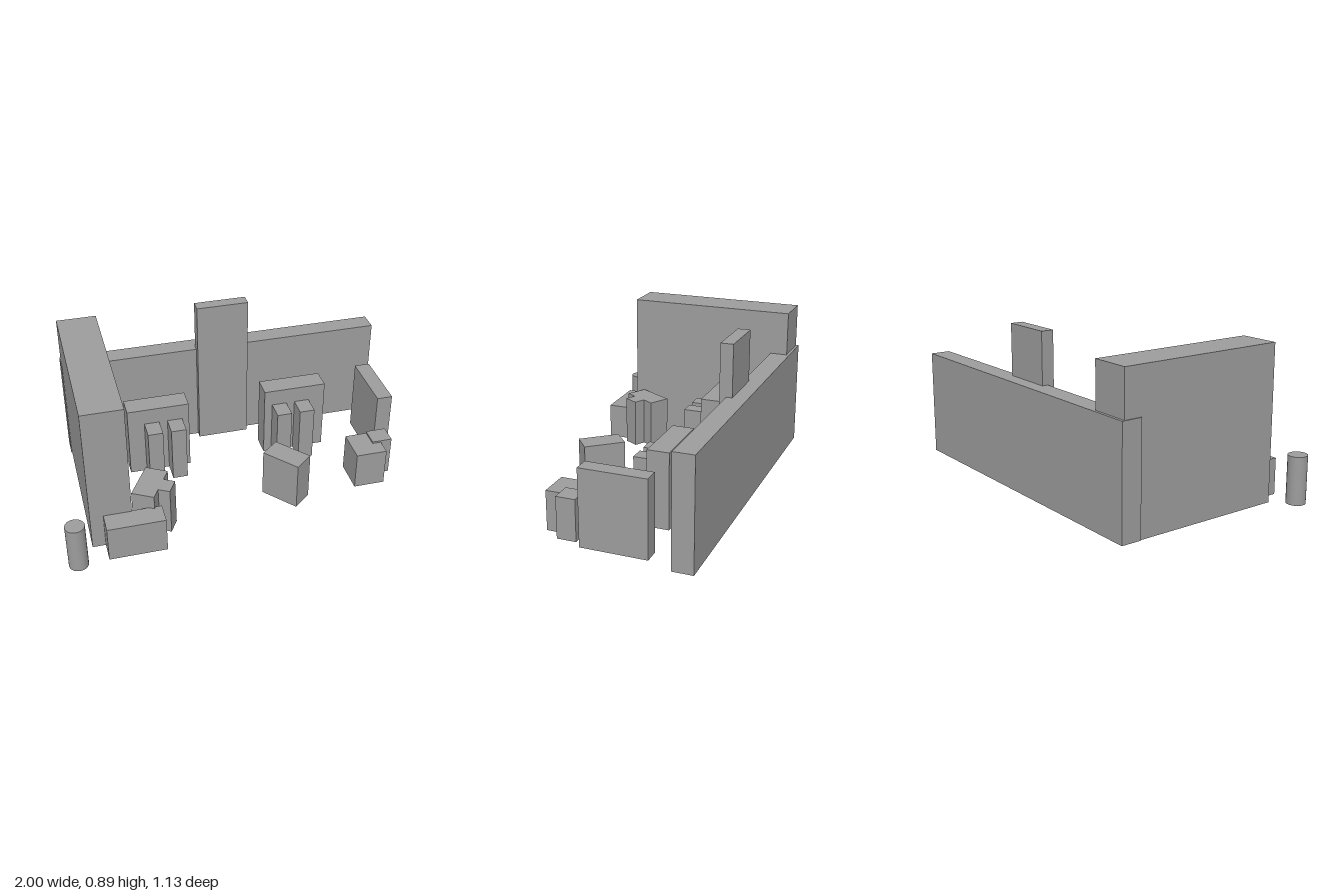
import * as THREE from 'three';

export function createModel() {
  const model = new THREE.Group();
  const material = new THREE.MeshStandardMaterial({ color: 0x9d9d9d });

  // A block standing on the floor: centre x, z, size and turn about y
  function block(name, x, z, width, height, depth, turn = 0) {
    const mesh = new THREE.Mesh(new THREE.BoxGeometry(width, height, depth), material);
    mesh.name = name;
    mesh.position.set(x, height / 2, z);
    mesh.rotation.y = turn;
    model.add(mesh);
  }

  // Walls and tall panel
  block('backWall', 0.067, -0.508, 1.866, 0.602, 0.113);
  block('sideWall', -0.75, -0.073, 0.222, 0.85, 0.952);
  block('tallPanel', 0.063, -0.449, 0.298, 0.888, 0.07);

  // Two dining tables, each with a pair of chairs on either side
  const dining = [
    { x: -0.376, width: 0.354, chairs: [-0.416, -0.283], back: -0.364 },
    { x: 0.432, width: 0.363, chairs: [0.339, 0.474], back: -0.368 },
  ];
  for (const { x, width, chairs, back } of dining) {
    block('table', x, -0.233, width, 0.422, 0.12);
    for (const chairX of chairs) {
      block('backChair', chairX, back, 0.086, 0.33, 0.112);
      block('frontChair', chairX, -0.115, 0.086, 0.33, 0.112);
    }
  }

  // Cabinet and low desk with its seat
  block('cabinet', 0.899, -0.132, 0.088, 0.422, 0.364);
  block('lowDesk', 0.748, 0.185, 0.176, 0.22, 0.192);
  block('lowDeskSeat', 0.843, 0.14, 0.114, 0.23, 0.106);

  // Turned desks, one with a seat
  block('turnedDesk', 0.258, 0.238, 0.226, 0.279, 0.126, -0.87);
  block('sideDesk', -0.518, 0.284, 0.228, 0.279, 0.126, 1.05);
  block('sideDeskSeat', -0.456, 0.323, 0.09, 0.279, 0.11, 1.05);

  // Counter at the end of the side wall
  block('counter', -0.634, 0.459, 0.312, 0.202, 0.121);

  // Round bin
  const bin = new THREE.Mesh(new THREE.CylinderGeometry(0.052, 0.052, 0.262, 32), material);
  bin.name = 'roundBin';
  bin.position.set(-0.948, 0.131, 0.513);
  model.add(bin);

  return model;
}
